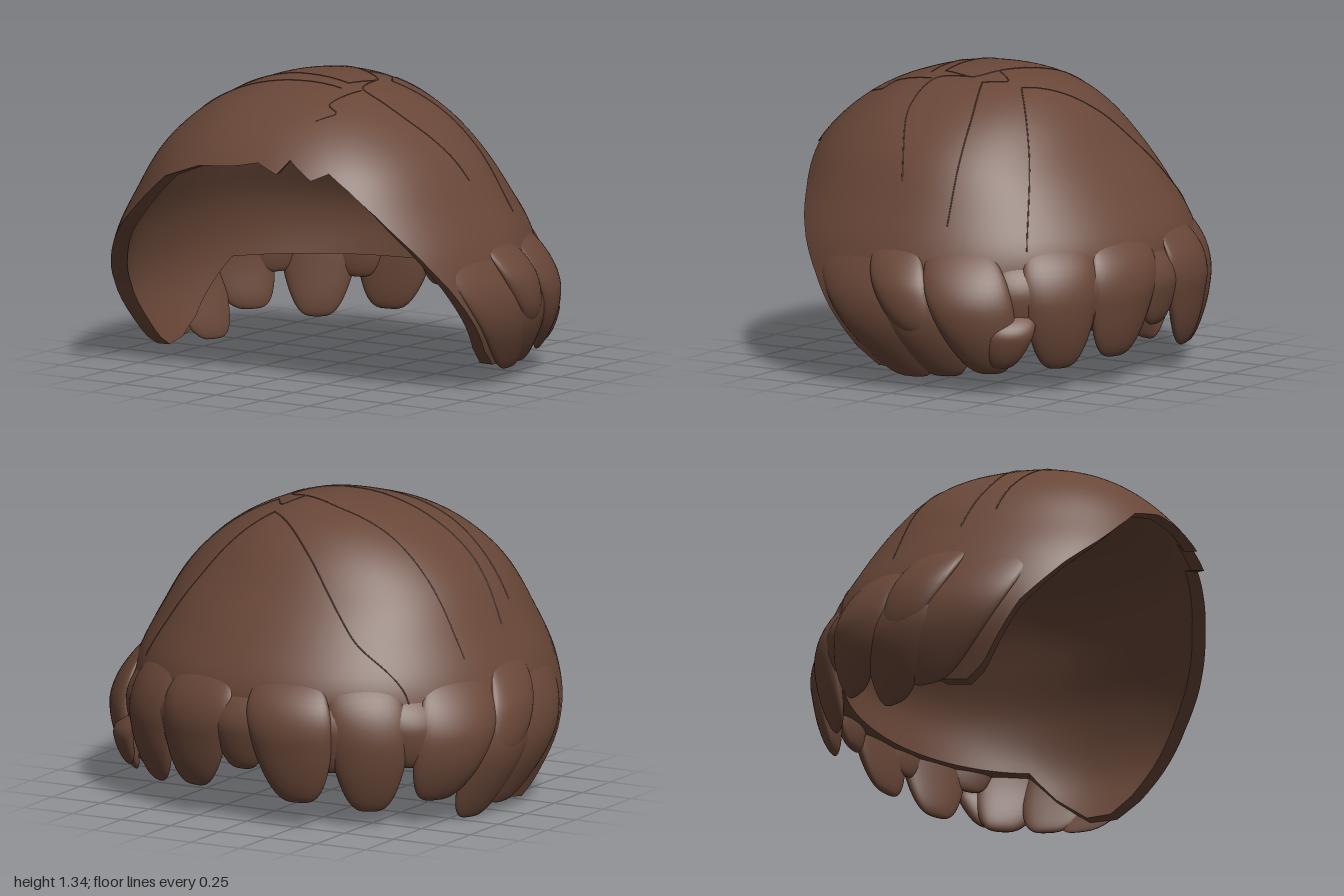
import * as THREE from 'three';
import { mergeVertices, toCreasedNormals } from 'three/addons/utils/BufferGeometryUtils.js';

const RAD = Math.PI / 180, TOP = 1.34, CENTRE_Z = 0.1;

// Half width, front depth and back depth at equal steps from crown to hem
const outline = new THREE.CatmullRomCurve3([
  [0, 0, 0], [0.19, 0.205, 0.2], [0.375, 0.42, 0.36], [0.545, 0.595, 0.49], [0.69, 0.735, 0.61],
  [0.8, 0.83, 0.755], [0.91, 0.9, 0.88], [0.955, 0.9, 0.86], [0.86, 0.84, 0.82],
].map((p) => new THREE.Vector3(...p)), false, 'catmullrom');

// Horizontal radius at an azimuth (degrees, 0 = front, 90 = left) and step s;
// the front is squarer than the back
function radiusAt(deg, s) {
  const p = outline.getPoint(THREE.MathUtils.clamp(s, 0, 1));
  const c = Math.cos(deg * RAD), d = c > 0 ? p.y : p.z, n = c > 0 ? 2.4 : 2.08;
  if (p.x < 1e-5) return 0;
  return Math.pow(Math.pow(Math.abs(Math.sin(deg * RAD)) / p.x, n) + Math.pow(Math.abs(c) / d, n), -1 / n);
}
const stepAt = (y) => Math.sqrt(Math.max(0, (TOP - y) / TOP));
const place = (deg, r, y) =>
  new THREE.Vector3(Math.sin(deg * RAD) * r, y, CENTRE_Z + Math.cos(deg * RAD) * r);

// Hem height by azimuth: jagged fringe, low sideburns, level nape
const hem = [
  [-180, 0.36], [-116, 0.36], [-108, 0.24], [-100, 0.12], [-92, 0.05], [-84, 0.03], [-79, 0.08],
  [-74, 0.2], [-68, 0.35], [-56, 0.55], [-46, 0.69], [-38, 0.81], [-30, 0.92], [-16, 0.99],
  [0, 1.01], [8, 1.03], [16, 0.99], [20, 1.05], [28, 0.97], [34, 1.0], [40, 0.93], [48, 0.82],
  [58, 0.66], [68, 0.48], [76, 0.31], [82, 0.18], [88, 0.1], [96, 0.1], [106, 0.22], [114, 0.36],
  [180, 0.36],
];
function hemAt(deg) {
  const i = Math.max(1, hem.findIndex((h) => h[0] >= deg));
  const [a, b] = [hem[i - 1], hem[i]];
  return THREE.MathUtils.lerp(a[1], b[1], (deg - a[0]) / (b[0] - a[0]));
}

// Closed shell: outer skin from crown to hem, then the lining back up
function shellGeometry() {
  const rows = 40, cols = 180, pos = [], index = [];
  for (let i = 0; i <= rows * 2 + 1; i++) {
    const inner = i > rows, t = (inner ? rows * 2 + 1 - i : i) / rows;
    for (let j = 0; j <= cols; j++) {
      const deg = -180 + j * 360 / cols;
      const s = t * stepAt(hemAt(deg));
      const r = radiusAt(deg, s), y = TOP * (1 - s * s);
      const v = inner ? place(deg, r * 0.925, y - 0.06 * (1 - t)) : place(deg, r, y);
      pos.push(v.x, v.y, v.z);
    }
  }
  const w = cols + 1;
  for (let i = 0; i < rows * 2 + 1; i++) {
    for (let j = 0; j < cols; j++) {
      const a = i * w + j, b = a + w;
      if (i > 0) index.push(a, b, a + 1);
      if (i < rows * 2) index.push(a + 1, b, b + 1);
    }
  }
  const g = new THREE.BufferGeometry();
  g.setAttribute('position', new THREE.Float32BufferAttribute(pos, 3));
  g.setIndex(index);
  return toCreasedNormals(g, 0.8);
}

// A blunt lock wrapped round the head; its root sinks into the shell
function lockGeometry(deg, half, top, bottom, thick, lean, out) {
  const g = new THREE.SphereGeometry(1, 32, 28);
  g.deleteAttribute('uv');
  g.deleteAttribute('normal');
  const p = g.attributes.position, v = new THREE.Vector3();
  for (let i = 0; i < p.count; i++) {
    v.fromBufferAttribute(p, i);
    const ring = Math.hypot(v.x, v.z), swell = ring > 1e-4 ? Math.pow(ring, -0.4) : 1;
    const root = Math.max(0, v.y);
    const a = deg + half * v.x * swell * (1 + 0.2 * v.y) + lean * v.y;
    const y = (top + bottom) / 2 + v.y * (top - bottom) / 2;
    const offset = out - (0.05 + out) * root * root + thick * v.z * (1 - 0.5 * root);
    const q = place(a, radiusAt(a, stepAt(y)) + offset, y);
    p.setXYZ(i, q.x, q.y, q.z);
  }
  const m = mergeVertices(g, 1e-4);
  m.computeVertexNormals();
  return m;
}

// azimuth, half width, top, bottom, half thickness, lean, offset
const backLocks = [
  [142, 11, 0.7, 0.1, 0.055, 0, 0.015], [163, 12, 0.7, 0.13, 0.055, 2, 0.02],
  [195, 12, 0.7, 0.11, 0.055, -2, 0.035], [217, 11, 0.7, 0.07, 0.055, -1, 0.01],
  [153, 9, 0.62, 0.26, 0.045, 0, 0], [179, 9, 0.62, 0.24, 0.05, 0, 0.01],
  [206, 9, 0.62, 0.25, 0.045, 0, 0], [230, 9, 0.62, 0.27, 0.045, 0, 0], [131, 8, 0.62, 0.27, 0.04, 0, 0],
];
const sideLocks = [
  [242, 12, 0.7, 0.11, 0.055, 5, 0.015],
  [257, 12, 0.66, 0.0, 0.045, 6, 0], [263, 9, 0.74, 0.24, 0.04, 7, 0.015],
  [275, 14, 0.74, 0.04, 0.03, 11, 0],
  [127, 6, 0.4, 0.12, 0.04, 2, 0.06], [117, 11, 0.68, 0.09, 0.055, -5, 0.035],
  [103, 12, 0.64, 0.07, 0.045, -6, 0], [97, 8, 0.68, 0.26, 0.045, -5, 0.02],
  [88, 14, 0.72, 0.06, 0.03, -11, 0],
];

// Parting seams over the dome, as x, z points seen from above
const seams = [
  [[-0.7, -0.5], [-0.42, -0.54], [-0.1, -0.38], [0.19, -0.17]],
  [[0.66, -0.5], [0.45, -0.38], [0.19, -0.17]],
  [[-0.8, -0.2], [-0.4, -0.13], [-0.1, -0.1], [0.12, -0.01]],
  [[0.12, -0.01], [0.19, -0.1], [0.26, -0.01]],
  [[0.26, -0.01], [0.5, -0.1], [0.8, -0.17]],
  [[-0.8, 0.13], [-0.6, 0.2], [-0.2, 0.21], [0.19, 0.23]],
  [[0.19, 0.23], [0.23, 0.06], [0.12, -0.01]],
  [[0.23, 0.06], [0.27, 0.23], [0.5, 0.23], [0.75, 0.1]],
  [[-0.75, 0.28], [-0.4, 0.35], [0, 0.31], [0.2, 0.3]],
  [[0.27, 0.25], [0.24, 0.45], [0.3, 0.49], [0.25, 0.58]],
];
function seamGeometry(points) {
  const path = new THREE.CatmullRomCurve3(
    points.map(([x, z]) => new THREE.Vector3(x, 0, z)), false, 'catmullrom', 0.4);
  const lifted = path.getSpacedPoints(30).map(({ x, z }) => {
    const deg = Math.atan2(x, z - CENTRE_Z) / RAD, r = Math.hypot(x, z - CENTRE_Z);
    let lo = 0, hi = 0.85;
    for (let k = 0; k < 24; k++) {
      const mid = (lo + hi) / 2;
      if (radiusAt(deg, mid) < r) lo = mid; else hi = mid;
    }
    return place(deg, r, TOP * (1 - lo * lo));
  });
  return new THREE.TubeGeometry(new THREE.CatmullRomCurve3(lifted), 60, 0.003, 5);
}

export function createModel() {
  const model = new THREE.Group();
  model.name = 'hair';
  const brown = new THREE.MeshStandardMaterial({ color: 0x694738 });
  brown.name = 'chestnut brown';
  const add = (geometry, name) => {
    const mesh = new THREE.Mesh(geometry, brown);
    mesh.name = name;
    model.add(mesh);
  };
  add(shellGeometry(), 'hairCap');
  backLocks.forEach((l) => add(lockGeometry(...l), 'backLock'));
  sideLocks.forEach((l) => add(lockGeometry(...l), l[0] > 180 ? 'rightLock' : 'leftLock'));
  seams.forEach((s) => add(seamGeometry(s), 'partingSeam'));
  return model;
}
